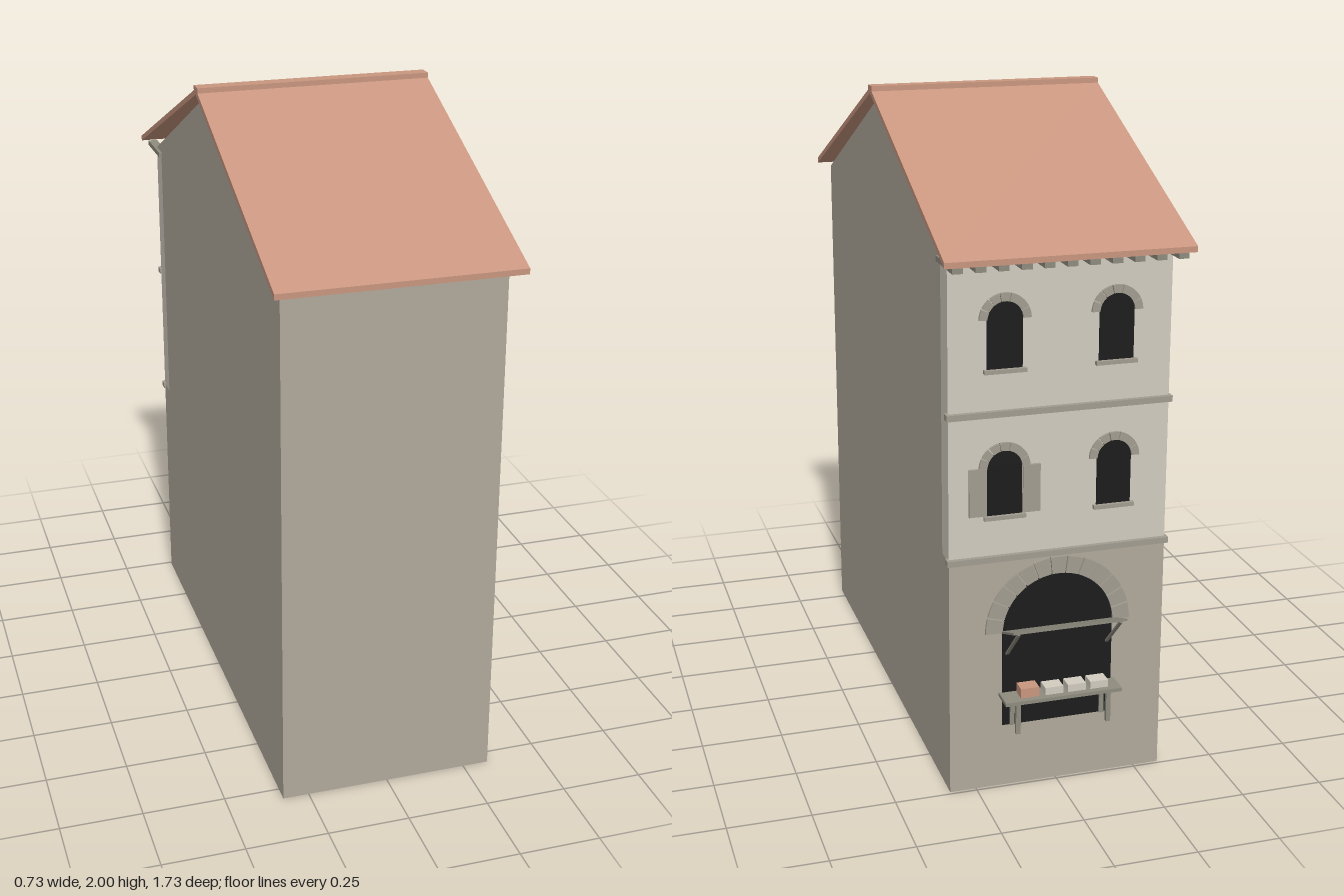
import * as THREE from 'three';

const mat = (name, color) => {
  const m = new THREE.MeshStandardMaterial({ color });
  m.name = name;
  return m;
};

export function createModel() {
  const stone = mat('wall stone', 0xb0a99c);
  const plaster = mat('pale plaster', 0xd2ccc0);
  const trim = mat('trim stone', 0xa39d90);
  const tile = mat('roof tile', 0xc9967f);
  const wood = mat('weathered wood', 0x8f8b7f);
  const dark = mat('dark opening', 0x1c1c1c);

  const house = new THREE.Group();
  house.name = 'house';
  const WALL = -0.74; // plane of the decorated facade

  const add = (name, geo, material, parent = house) => {
    const mesh = new THREE.Mesh(geo, material);
    mesh.name = name;
    parent.add(mesh);
    return mesh;
  };
  // box given by its limits
  const box = (name, material, [x0, x1], [y0, y1], [z0, z1], parent) =>
    add(name, new THREE.BoxGeometry(x1 - x0, y1 - y0, z1 - z0)
      .translate((x0 + x1) / 2, (y0 + y1) / 2, (z0 + z1) / 2), material, parent);
  const shapeOf = (pts) => new THREE.Shape(pts.map(([a, b]) => new THREE.Vector2(a, b)));
  // side profile of [z, y] points, extruded across x
  const across = (name, material, pts, half, x = 0, parent) =>
    add(name, new THREE.ExtrudeGeometry(shapeOf(pts), { depth: 2 * half, bevelEnabled: false })
      .rotateY(-Math.PI / 2).translate(x + half, 0, 0), material, parent);
  // flat shape standing out from the facade
  const onFacade = (name, material, shape, depth, x, y, parent) =>
    add(name, new THREE.ExtrudeGeometry(shape, { depth, bevelEnabled: false, curveSegments: 20 })
      .translate(x, y, WALL - depth), material, parent);

  // walls with a gable on each side, and a plaster front layer on the upper floors
  across('walls', stone, [
    [0.8, 0], [0.8, 1.62], [0.013, 1.972], [WALL, 1.62],
    [-0.67, 1.62], [-0.67, 0.74], [WALL, 0.74], [WALL, 0],
  ], 0.33);
  box('upperFacade', plaster, [-0.33, 0.33], [0.74, 1.62], [WALL, -0.67]);

  // roof slabs and ridge
  for (const [name, z, y] of [['frontRoof', 0.864, 1.622], ['rearRoof', -0.836, 1.622]]) {
    across(name, tile, [[0.013, 1.976], [z, y], [z, y + 0.017], [0.013, 1.994]], 0.363);
  }
  box('ridge', tile, [-0.363, 0.363], [1.978, 2], [-0.01, 0.036]);

  // rafter tails under the eave
  for (let i = 0; i < 11; i++) {
    const x = -0.325 + i * 0.065;
    box('rafterTail', wood, [x - 0.015, x + 0.015], [1.605, 1.621], [-0.832, -0.66]);
  }

  // string courses between the floors
  for (const y of [0.738, 1.175]) {
    box('stringCourse', trim, [-0.337, 0.337], [y - 0.009, y + 0.009], [-0.754, -0.725]);
  }

  // round-headed opening with a ring of wedge stones
  const archOpening = (name, x, base, spring, r, outer, stones) => {
    const group = new THREE.Group();
    group.name = name;
    house.add(group);
    const s = new THREE.Shape();
    s.moveTo(-r, base - spring);
    s.lineTo(r, base - spring);
    s.lineTo(r, 0);
    s.absarc(0, 0, r, 0, Math.PI, false);
    onFacade('opening', dark, s, 0.003, x, spring, group);
    const step = Math.PI / stones;
    for (let i = 0; i < stones; i++) {
      const a = i * step + step * 0.04, b = (i + 1) * step - step * 0.04;
      const wedge = new THREE.Shape();
      wedge.absarc(0, 0, outer, a, b, false);
      wedge.absarc(0, 0, r, b, a, true);
      onFacade('archStone', trim, wedge, 0.008, x, spring, group);
    }
    return group;
  };

  // windows with sills
  for (const y of [0.865, 1.3]) {
    for (const x of [-0.165, 0.165]) {
      const w = archOpening('window', x, y, y + 0.147, 0.052, 0.076, 7);
      box('sill', trim, [x - 0.062, x + 0.062], [y - 0.007, y + 0.005], [-0.754, WALL], w);
    }
  }

  // open shutters on one window
  for (const s of [-1, 1]) {
    const x = 0.165 + s * 0.08;
    box('shutter', trim, [x - 0.026, x + 0.026], [0.872, 1.015], [-0.749, WALL]);
  }

  // shop opening
  archOpening('shopArch', 0, 0.2, 0.5, 0.17, 0.222, 13);

  // raised flap with two braces
  across('flap', wood, [[WALL, 0.497], [WALL, 0.504], [-0.862, 0.553], [-0.862, 0.546]], 0.173);
  for (const x of [-0.155, 0.155]) {
    across('flapBrace', wood, [[WALL, 0.425], [WALL, 0.433], [-0.856, 0.547], [-0.856, 0.539]], 0.005, x);
  }

  // market table
  box('tableTop', wood, [-0.18, 0.18], [0.296, 0.307], [-0.814, WALL]);
  for (const x of [-0.14, 0.14]) {
    box('tableLeg', wood, [x - 0.007, x + 0.007], [0.2, 0.296], [-0.809, -0.797]);
    box('tableRearLeg', wood, [x - 0.007, x + 0.007], [0.2, 0.296], [-0.75, WALL]);
  }

  // goods on the table
  [0.1, 0.025, -0.045, -0.115].forEach((x, i) => {
    const h = i === 0 ? 0.337 : 0.33;
    box('goods', i === 0 ? tile : plaster, [x - 0.028, x + 0.028], [0.307, h], [-0.795, -0.75]);
  });

  return house;
}
